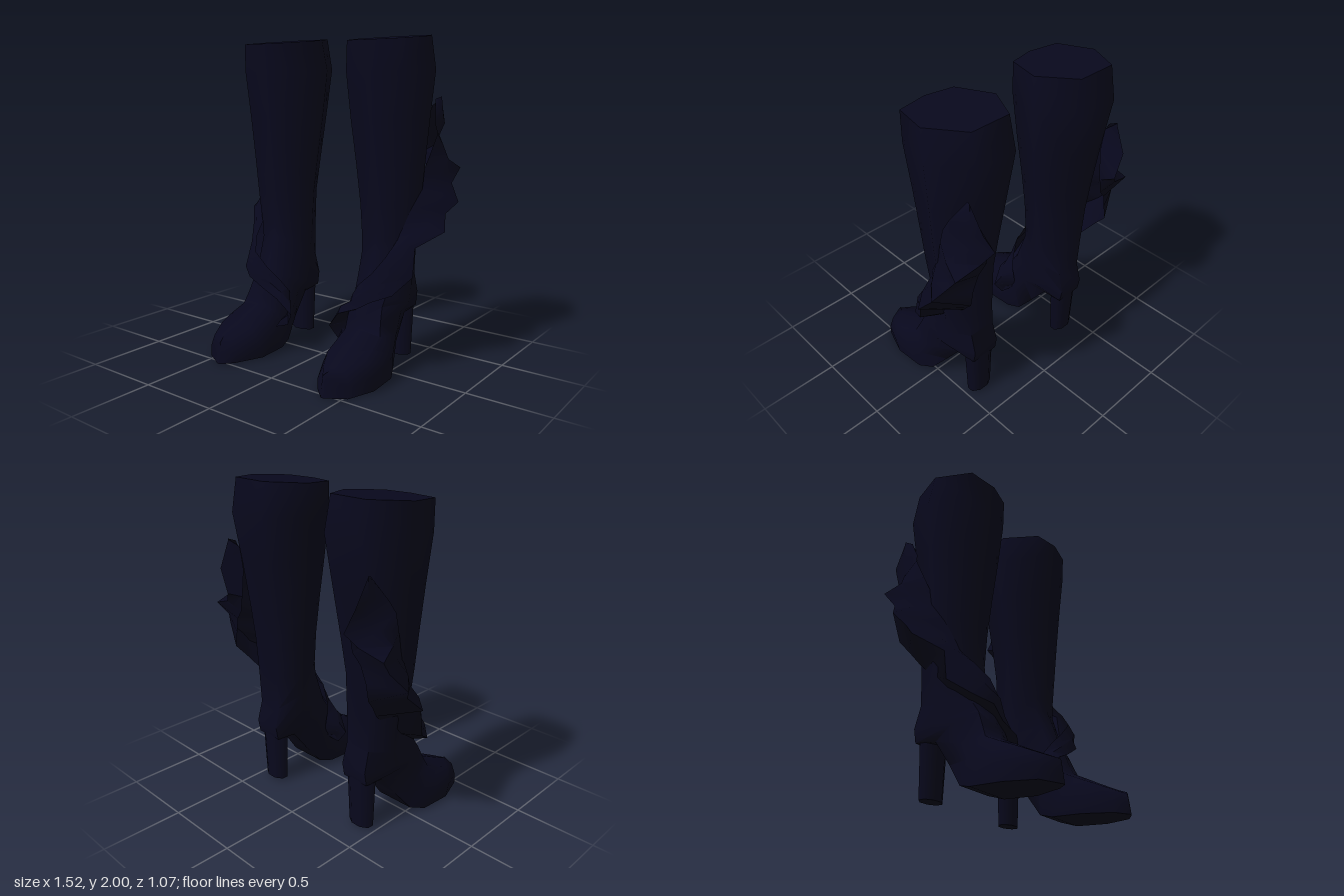
import * as THREE from 'three';
import { toCreasedNormals } from 'three/addons/utils/BufferGeometryUtils.js';

// Joins equal-length rows of [x, y, z] points into a surface; side = -1 mirrors it in x.
function loft(rows, side, closed) {
  const n = rows[0].length, index = [];
  const tri = (a, b, c) => index.push(a, side > 0 ? b : c, side > 0 ? c : b);
  for (let r = 0; r < rows.length - 1; r++) {
    for (let i = 0; i < (closed ? n : n - 1); i++) {
      const j = (i + 1) % n, a = r * n + i, b = r * n + j;
      tri(a, a + n, b);
      tri(b, a + n, b + n);
    }
  }
  if (closed) {
    const last = (rows.length - 1) * n;
    for (let i = 1; i < n - 1; i++) {
      tri(0, i, i + 1);
      tri(last, last + i + 1, last + i);
    }
  }
  const points = rows.flat().map(([x, y, z]) => [x * side, y, z]).flat();
  const geo = new THREE.BufferGeometry();
  geo.setAttribute('position', new THREE.Float32BufferAttribute(points, 3));
  geo.setIndex(index);
  return toCreasedNormals(geo, 1.15);
}

// Boot rings: front y, z, back y, z, centre x, half width, width of back or sole edge
const bootRings = [
  [1.955, 0.10, 2.00, -0.40, 0.390, 0.25, 0.5],
  [1.78, 0.085, 1.80, -0.435, 0.387, 0.27, 0.5],
  [1.50, 0.055, 1.50, -0.39, 0.388, 0.243, 0.5],
  [1.25, 0.03, 1.20, -0.35, 0.395, 0.215, 0.5],
  [1.00, 0.01, 1.00, -0.33, 0.400, 0.19, 0.5],
  [0.80, 0.00, 0.75, -0.325, 0.395, 0.17, 0.5],
  [0.72, 0.01, 0.55, -0.32, 0.390, 0.155, 0.55],
  [0.62, 0.05, 0.42, -0.355, 0.390, 0.15, 0.6],
  [0.50, 0.09, 0.335, -0.34, 0.390, 0.15, 0.6],
  [0.44, 0.12, 0.32, -0.20, 0.390, 0.15, 0.6],
  [0.36, 0.15, 0.17, -0.09, 0.395, 0.16, 0.6],
  [0.295, 0.175, 0.04, 0.01, 0.405, 0.17, 0.75],
  [0.25, 0.27, 0.015, 0.10, 0.415, 0.178, 0.9],
  [0.21, 0.35, 0.01, 0.30, 0.417, 0.175, 0.97],
  [0.16, 0.46, 0.01, 0.47, 0.425, 0.108, 0.97],
  [0.135, 0.52, 0.005, 0.535, 0.400, 0.01, 1],
];

function bootRow([fy, fz, by, bz, cx, w, k]) {
  const shape = [[0, 1], [0.76, 0.85], [1, -0.1], [k, -1], [-k, -1], [-1, -0.1], [-0.68, 0.85]];
  return shape.map(([u, v]) => {
    const t = (1 - v) / 2;
    return [cx + u * w, fy + (by - fy) * t, fz + (bz - fz) * t];
  });
}

// Frill winding from the calf round the outside to the instep: seam, free edge, underside
const frillSeam = [
  [0.55, 1.62, -0.40], [0.58, 1.54, -0.35], [0.60, 1.48, -0.31], [0.63, 1.42, -0.29],
  [0.61, 1.30, -0.24], [0.59, 1.20, -0.20], [0.58, 1.10, -0.16], [0.57, 1.00, -0.11],
  [0.55, 0.90, -0.06], [0.52, 0.80, -0.02], [0.50, 0.72, 0.06], [0.45, 0.63, 0.13],
  [0.36, 0.55, 0.13], [0.29, 0.47, 0.09], [0.25, 0.41, 0.06], [0.24, 0.38, 0.04],
  [0.25, 0.28, 0.03], [0.26, 0.22, 0.06],
];
const frillEdge = [
  [0.57, 1.63, -0.44], [0.555, 1.47, -0.52], [0.485, 1.33, -0.53], [0.55, 1.26, -0.49],
  [0.70, 1.21, -0.46], [0.68, 1.12, -0.39], [0.76, 1.02, -0.325], [0.705, 0.95, -0.27],
  [0.75, 0.86, -0.185], [0.63, 0.77, -0.05], [0.63, 0.60, -0.03], [0.57, 0.51, 0.10],
  [0.47, 0.47, 0.17], [0.37, 0.41, 0.16], [0.24, 0.36, 0.17], [0.15, 0.26, 0.135],
  [0.20, 0.18, 0.11], [0.24, 0.18, 0.18],
];
const frillUnderside = [
  [0.54, 1.58, -0.38], [0.49, 1.45, -0.40], [0.45, 1.30, -0.45], [0.47, 1.20, -0.45],
  [0.52, 1.14, -0.44], [0.55, 1.04, -0.43], [0.57, 0.94, -0.43], [0.55, 0.87, -0.37],
  [0.52, 0.79, -0.31], [0.50, 0.70, -0.22], [0.49, 0.60, -0.12], [0.46, 0.50, 0.00],
  [0.38, 0.44, 0.08], [0.32, 0.38, 0.10], [0.27, 0.33, 0.08], [0.25, 0.28, 0.05],
  [0.25, 0.24, 0.04], [0.27, 0.20, 0.08],
];

// A slight puff between the seam and the free edge
const frillPuff = frillSeam.map(([x, y, z], i) => {
  const [ex, ey, ez] = frillEdge[i];
  return [(x + ex) / 2 + (x - 0.4) * 0.08, (y + ey) / 2 + 0.01, (z + ez) / 2 + (z + 0.15) * 0.08];
});

export function createModel() {
  const leather = new THREE.MeshStandardMaterial({ color: 0x08081d, side: THREE.DoubleSide });
  leather.name = 'midnight leather';

  const model = new THREE.Group();
  model.name = 'heeledBoots';
  for (const side of [1, -1]) {
    const boot = new THREE.Group();
    boot.name = side > 0 ? 'leftBoot' : 'rightBoot';
    const add = (name, geo) => {
      const mesh = new THREE.Mesh(geo, leather);
      mesh.name = name;
      boot.add(mesh);
      return mesh;
    };

    add('shaftAndFoot', loft(bootRings.map(bootRow), side, true));
    add('frill', loft([frillSeam, frillPuff, frillEdge, frillUnderside], side, false));

    // Block heel, a little wider where it meets the boot
    const heelGeo = new THREE.CylinderGeometry(0.1, 0.085, 0.36, 8);
    heelGeo.rotateY(Math.PI / 8);
    heelGeo.scale(1, 1, 0.62);
    add('heel', heelGeo).position.set(0.39 * side, 0.2, -0.285);
    model.add(boot);
  }
  return model;
}
